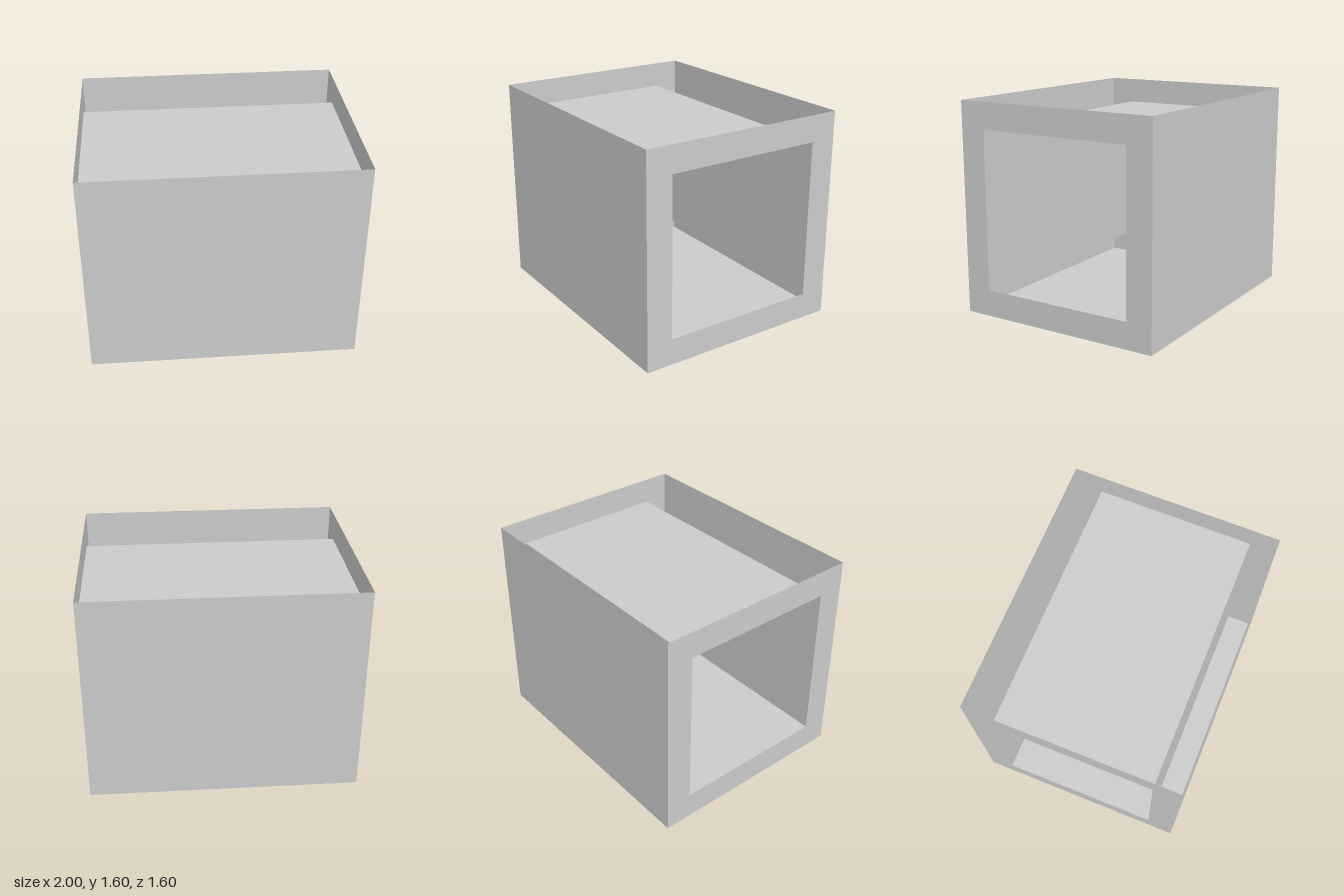
import * as THREE from 'three';

const LENGTH = 2, SIZE = 1.6, OPENING = 1.2, MID = SIZE / 2;

export function createModel() {
  const group = new THREE.Group();
  const material = new THREE.MeshStandardMaterial({
    color: 0xcccccc, flatShading: true, side: THREE.DoubleSide,
  });

  function add(name, geometry, x, y, z) {
    const mesh = new THREE.Mesh(geometry, material);
    mesh.name = name;
    mesh.position.set(x, y, z);
    group.add(mesh);
    return mesh;
  }

  // Square end frame with a square opening
  const half = SIZE / 2, inner = OPENING / 2;
  const frame = new THREE.Shape([
    new THREE.Vector2(-half, -half), new THREE.Vector2(half, -half),
    new THREE.Vector2(half, half), new THREE.Vector2(-half, half),
  ]);
  frame.holes.push(new THREE.Path([
    new THREE.Vector2(-inner, -inner), new THREE.Vector2(-inner, inner),
    new THREE.Vector2(inner, inner), new THREE.Vector2(inner, -inner),
  ]));
  const frameGeometry = new THREE.ShapeGeometry(frame);

  // Mirrored end frames, outer walls and inner tunnel walls
  for (const s of [1, -1]) {
    add(s > 0 ? 'leftEndFrame' : 'rightEndFrame', frameGeometry, s * LENGTH / 2, MID, 0)
      .rotation.y = s * Math.PI / 2;
    const side = s > 0 ? 'front' : 'back';
    const turn = s > 0 ? 0 : Math.PI;
    add(side + 'OuterWall', new THREE.PlaneGeometry(LENGTH, SIZE), 0, MID, s * half)
      .rotation.y = turn;
    add(side + 'InnerWall', new THREE.PlaneGeometry(LENGTH, OPENING), 0, MID, s * inner)
      .rotation.y = turn;
  }

  // Floor of the outer shell, open at the top
  add('floor', new THREE.PlaneGeometry(LENGTH, SIZE), 0, 0, 0).rotation.x = Math.PI / 2;

  // Ceiling of the inner tunnel, open at the bottom
  add('tunnelCeiling', new THREE.PlaneGeometry(LENGTH, OPENING), 0, MID + inner, 0)
    .rotation.x = -Math.PI / 2;

  return group;
}
